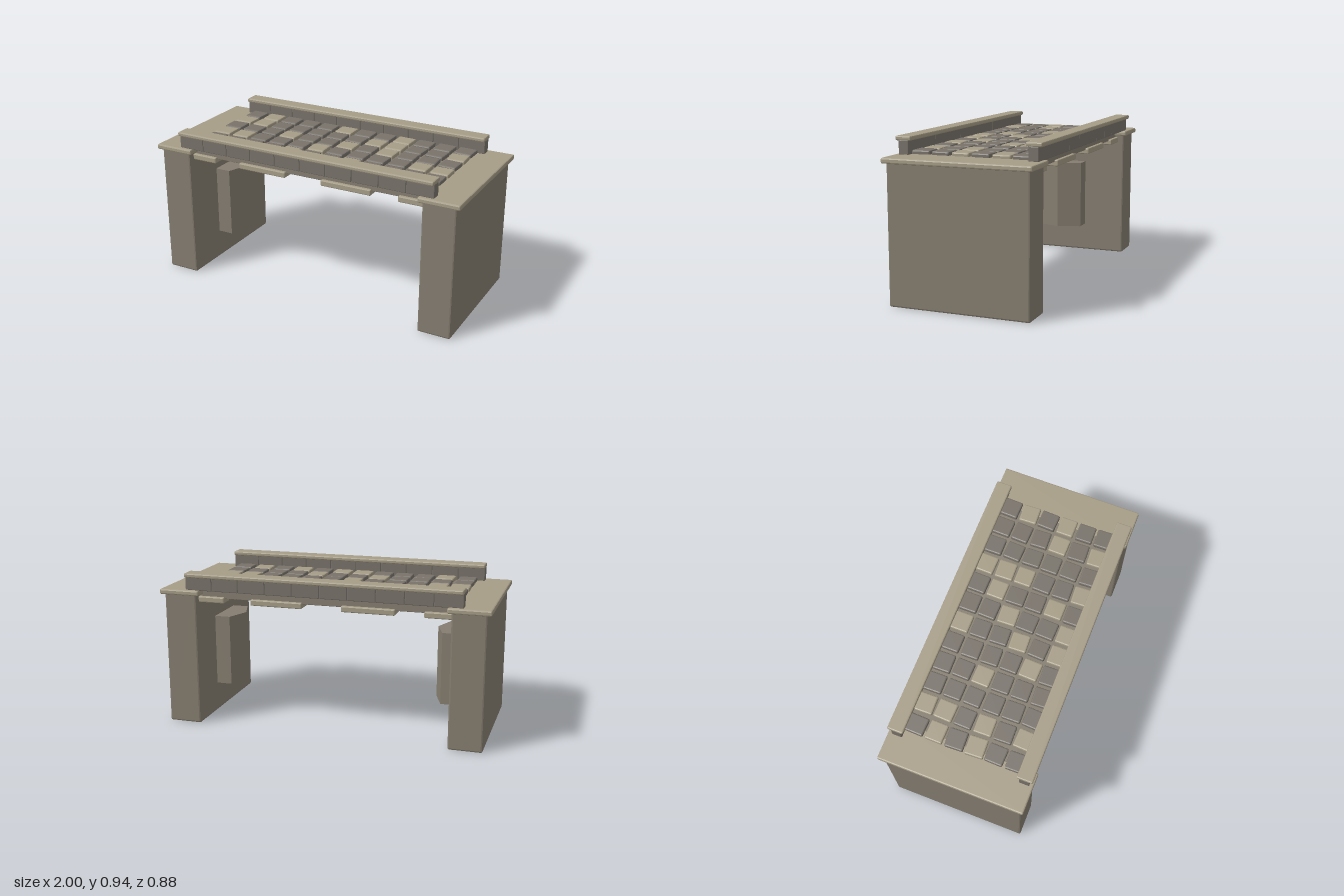
import * as THREE from 'three';
import { RoundedBoxGeometry } from 'three/addons/geometries/RoundedBoxGeometry.js';

function material(name, color) {
  const m = new THREE.MeshStandardMaterial({ color });
  m.name = name;
  return m;
}

export function createModel() {
  const stone = material('stone', 0x857d70);
  const paleStone = material('paleStone', 0xa69d87);
  const darkStone = material('darkStone', 0x78726a);
  const bridge = new THREE.Group();
  bridge.name = 'stoneBridge';

  let seed = 7;
  const jitter = (amount) => {
    seed = (seed * 16807) % 2147483647;
    return (seed / 2147483647 - 0.5) * 2 * amount;
  };

  // Chamfered block given by its lower and upper bounds
  function block(name, mat, [x0, x1], [y0, y1], [z0, z1], bevel, parent = bridge) {
    const geo = new RoundedBoxGeometry(x1 - x0, y1 - y0, z1 - z0, 1, bevel);
    geo.computeVertexNormals();
    const mesh = new THREE.Mesh(geo, mat);
    mesh.name = name;
    mesh.position.set((x0 + x1) / 2, (y0 + y1) / 2, (z0 + z1) / 2);
    parent.add(mesh);
    return mesh;
  }

  // Pointed pier, extruded upward from its plan outline
  const plan = new THREE.Shape([
    [0.78, 0.15], [0.675, 0.15], [0.622, 0], [0.675, -0.15], [0.78, -0.15],
  ].map(([x, z]) => new THREE.Vector2(x, z)));
  const pierGeo = new THREE.ExtrudeGeometry(plan, { depth: 0.44, bevelEnabled: false });
  pierGeo.rotateX(-Math.PI / 2).translate(0, 0.18, 0);

  // End supports with their caps and piers
  for (const side of [1, -1]) {
    const end = new THREE.Group();
    end.name = side > 0 ? 'leftAbutment' : 'rightAbutment';
    block('abutmentWall', stone, [0.772, 0.975], [0, 0.825], [-0.42, 0.42], 0.01, end);
    block('abutmentCap', paleStone, [0.75, 1], [0.808, 0.84], [-0.44, 0.44], 0.008, end);
    const pier = new THREE.Mesh(pierGeo, stone);
    pier.name = 'pointedPier';
    end.add(pier);
    if (side < 0) end.rotation.y = Math.PI;
    bridge.add(end);
  }

  // Deck and the slabs beneath it
  block('deck', stone, [-0.85, 0.85], [0.785, 0.839], [-0.36, 0.36], 0.003);
  for (const [x0, x1] of [[-0.93, -0.61], [-0.44, -0.12], [0.12, 0.44], [0.61, 0.93]]) {
    block('underSlab', paleStone, [x0, x1], [0.76, 0.796], [-0.38, 0.38], 0.006);
  }

  // Parapets: a row of blocks under a long coping
  for (const side of [1, -1]) {
    const parapet = new THREE.Group();
    parapet.name = side > 0 ? 'frontParapet' : 'backParapet';
    for (let i = 0; i < 10; i++) {
      const x = -0.84 + i * 0.168;
      block('parapetBlock', darkStone, [x + 0.0005, x + 0.1675], [0.838, 0.92], [0.355, 0.415], 0.004, parapet);
    }
    block('coping', paleStone, [-0.84, 0.84], [0.917, 0.943], [0.34, 0.435], 0.007, parapet);
    if (side < 0) parapet.rotation.y = Math.PI;
    bridge.add(parapet);
  }

  // Cobbles, with the pale ones listed by column for each row from the back
  const pale = [[1, 5, 8], [0, 1, 7, 8, 11], [3, 6, 8], [0, 1, 5, 10, 11], [4, 7], [1, 5, 6, 8, 10]];
  pale.forEach((columns, row) => {
    for (let col = 0; col < 12; col++) {
      const x = (col - 5.5) * 0.1345;
      const z = (row - 2.5) * 0.121;
      const w = 0.056 + jitter(0.002);
      const d = 0.054 + jitter(0.002);
      const cobble = block('cobble', columns.includes(col) ? paleStone : darkStone,
        [x - w, x + w], [0.825, 0.862 + jitter(0.001)], [z - d, z + d], 0.008);
      cobble.rotation.y = jitter(0.05);
    }
  });
  return bridge;
}
